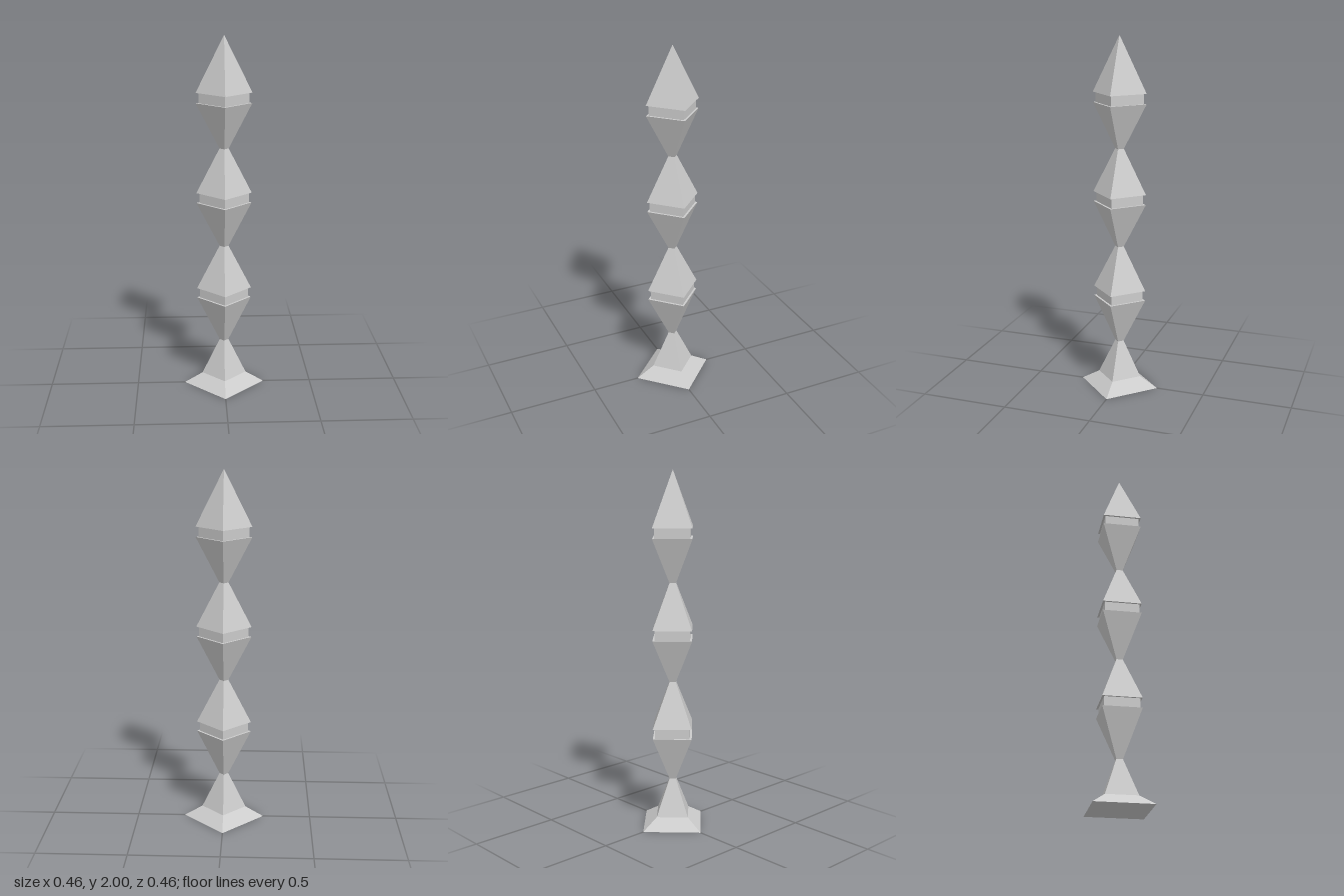
import * as THREE from 'three';

const material = new THREE.MeshStandardMaterial({ color: 0xcccccc, flatShading: true });

// Square frustum standing corner-on to the axes
function frustum(name, bottomRadius, topRadius, y0, y1) {
  const geometry = new THREE.CylinderGeometry(topRadius, bottomRadius, y1 - y0, 4);
  geometry.translate(0, (y0 + y1) / 2, 0);
  const mesh = new THREE.Mesh(geometry, material);
  mesh.name = name;
  return mesh;
}

export function createModel() {
  const group = new THREE.Group();
  group.name = 'stackedColumn';
  const waist = 0.025, rim = 0.153, band = 0.137;

  // Flared foot and its tapering pedestal
  group.add(frustum('foot', 0.228, 0.125, 0, 0.06));
  group.add(frustum('pedestal', 0.125, waist, 0.06, 0.268));

  // Three stacked diamonds, each split by a recessed band; the last ends in a point
  const levels = [
    [0.268, 0.527, 0.583, 0.834],
    [0.834, 1.084, 1.14, 1.39],
    [1.39, 1.638, 1.694, 2],
  ];
  levels.forEach(([y0, y1, y2, y3], i) => {
    const diamond = new THREE.Group();
    diamond.name = `diamond${i + 1}`;
    diamond.add(
      frustum('lowerPyramid', waist, rim, y0, y1),
      frustum('recessedBand', band, band, y1, y2),
      frustum('upperPyramid', rim, i === 2 ? 0 : waist, y2, y3)
    );
    group.add(diamond);
  });
  return group;
}
